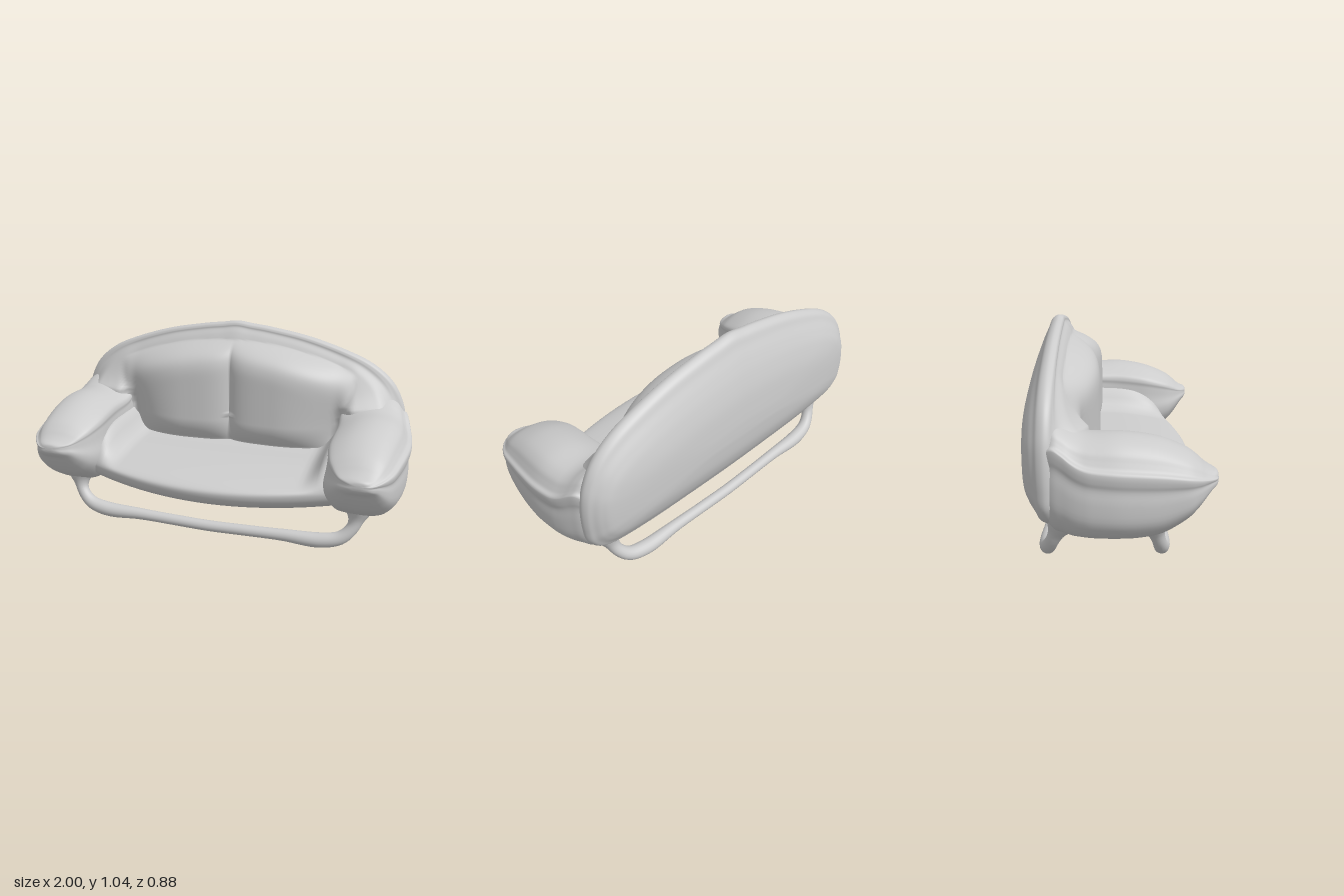
import * as THREE from 'three';
import { mergeVertices } from 'three/addons/utils/BufferGeometryUtils.js';

const V = (x, y, z = 0) => new THREE.Vector3(x, y, z);
const { smoothstep, clamp, mapLinear } = THREE.MathUtils;
const material = new THREE.MeshStandardMaterial({ color: 0xcccccc });

// Smooth curve through points, sampled by even parameter
function smooth(points, n, closed = false) {
  return new THREE.CatmullRomCurve3(points, closed, 'catmullrom', 0.5).getPoints(n);
}

// Weld seams so the surface shades as one smooth skin
function weld(geometry) {
  geometry.deleteAttribute('uv');
  geometry.deleteAttribute('normal');
  const welded = mergeVertices(geometry, 1e-5);
  welded.computeVertexNormals();
  return welded;
}

// Skin closed rings of equal length, closing both ends at their centres
function loft(rings) {
  const n = rings[0].length;
  const centre = (r) => {
    const c = r.reduce((sum, p) => sum.add(p), V(0, 0)).divideScalar(n);
    return r.map(() => c);
  };
  const all = [centre(rings[0]), ...rings, centre(rings[rings.length - 1])];
  const pts = all.flat();
  const index = [];
  let volume = 0;
  const tri = (a, b, c) => {
    if (pts[a].equals(pts[b]) || pts[b].equals(pts[c]) || pts[a].equals(pts[c])) return;
    index.push(a, b, c);
    volume += pts[a].dot(pts[b].clone().cross(pts[c]));
  };
  for (let i = 0; i < all.length - 1; i++) {
    for (let j = 0; j < n; j++) {
      const k = (j + 1) % n;
      tri(i * n + j, i * n + k, (i + 1) * n + j);
      tri(i * n + k, (i + 1) * n + k, (i + 1) * n + j);
    }
  }
  if (volume < 0) index.reverse();
  const g = new THREE.BufferGeometry().setFromPoints(pts);
  g.setIndex(index);
  return weld(g);
}

// Forward swell of the two back cushions, creased between them
function cushionSwell(x, y) {
  const side = Math.abs(x);
  const edge = 0.575 + 0.095 * smoothstep(y, 0.42, 0.82);
  const across = 1 - clamp((side - 0.26) / (edge - 0.26), 0, 1) ** 2;
  const topEdge = 0.95 - 0.12 * (side / 0.62) ** 2;
  const up = 1 - clamp((y - topEdge + 0.23) / 0.23, 0, 1) ** 4;
  const tuck = 1 - 0.35 * clamp((0.52 - y) / 0.12, 0, 1) ** 2;
  const crease = 1 - 0.42 * Math.exp(-side / 0.07);
  return 0.132 * across ** 0.8 * up * tuck * crease;
}

// Flare joining the arm tops to the back
function armFlare(x, y) {
  return 0.095 * smoothstep(Math.abs(x), 0.57, 0.68) * Math.exp(-Math.max(0, y - 0.64) / 0.085);
}

// Back: one arched outline, scaled ring by ring from the cushioned front to the domed rear
function backGeometry() {
  const half = [[0.09, 1.036], [0.2, 1.022], [0.4, 0.985], [0.6, 0.925], [0.75, 0.86], [0.86, 0.77],
    [0.92, 0.66], [0.942, 0.55], [0.942, 0.42], [0.92, 0.32], [0.83, 0.245], [0.6, 0.212], [0.3, 0.2]];
  const outline = smooth([
    V(0, 1.047), ...half.map(([x, y]) => V(x, y)), V(0, 0.195),
    ...half.slice().reverse().map(([x, y]) => V(-x, y)),
  ], 196, true).slice(0, -1);
  const midY = 0.55;
  // x scale, y scale, z
  const steps = [[0.03, 0.03, -0.212], [0.16, 0.16, -0.212], [0.3, 0.3, -0.212], [0.44, 0.44, -0.212],
    [0.57, 0.57, -0.212], [0.7, 0.7, -0.214], [0.8, 0.8, -0.228], [0.88, 0.88, -0.248], [0.935, 0.935, -0.268],
    [0.965, 0.965, -0.271], [0.99, 0.99, -0.28], [1, 1, -0.305], [0.99, 0.96, -0.333], [0.97, 0.87, -0.352],
    [0.94, 0.75, -0.379], [0.88, 0.6, -0.405], [0.7, 0.4, -0.427], [0.35, 0.15, -0.438], [0.03, 0.03, -0.44]];
  return loft(smooth(steps.map((s) => V(...s)), 108).map((s) => outline.map((p) => {
    const x = p.x * s.x;
    const y = midY + (p.y - midY) * s.y;
    const relief = s.z < -0.29 ? 0
      : cushionSwell(x, y) * (1 - smoothstep(s.x, 0.86, 0.95)) + armFlare(x, y) * (1 - smoothstep(s.x, 0.88, 0.99));
    return V(x, y, s.z + relief);
  })));
}

// Left arm: padded top, rolled lip and rounded body, swept from front to back
function armGeometry() {
  // across (-1 inner, 1 outer), height (1 top, 0 lip, -1 underside)
  const section = smooth([[0, 1], [0.42, 0.89], [0.68, 0.64], [0.8, 0.36], [0.88, 0.17], [0.97, 0.09],
    [1, -0.02], [0.98, -0.12], [0.94, -0.22], [0.96, -0.42], [0.9, -0.7], [0.62, -0.92], [0.25, -1], [-0.3, -1],
    [-0.7, -0.95], [-1, -0.72], [-1.08, -0.45], [-1, -0.15], [-0.97, 0.15], [-0.98, 0.36], [-0.88, 0.6],
    [-0.45, 0.9]].map(([u, v]) => V(u, v)), 88, true).slice(0, -1);
  // z, inner x, outer x, top, lip, underside
  const stations = [[0.441, 0.785, 0.815, 0.466, 0.458, 0.448], [0.437, 0.758, 0.845, 0.479, 0.459, 0.433],
    [0.426, 0.733, 0.868, 0.487, 0.461, 0.418], [0.405, 0.703, 0.892, 0.494, 0.465, 0.398],
    [0.38, 0.68, 0.912, 0.512, 0.469, 0.362], [0.35, 0.658, 0.932, 0.54, 0.474, 0.322],
    [0.3, 0.632, 0.954, 0.575, 0.483, 0.272], [0.2, 0.612, 0.975, 0.617, 0.497, 0.212],
    [0.1, 0.612, 0.99, 0.64, 0.507, 0.193], [0, 0.615, 0.998, 0.65, 0.515, 0.19],
    [-0.1, 0.61, 0.993, 0.647, 0.525, 0.19], [-0.15, 0.605, 0.985, 0.65, 0.538, 0.192],
    [-0.19, 0.605, 0.975, 0.662, 0.56, 0.195], [-0.23, 0.605, 0.962, 0.685, 0.59, 0.205],
    [-0.27, 0.61, 0.947, 0.7, 0.61, 0.215], [-0.31, 0.62, 0.92, 0.68, 0.59, 0.25]];
  const plan = smooth(stations.map((s) => V(s[0], s[1], s[2])), 60);
  const heights = smooth(stations.map((s) => V(s[3], s[4], s[5])), 60);
  return loft(plan.map(({ x: z, y: inner, z: outer }, i) => {
    const { x: top, y: lip, z: under } = heights[i];
    return section.map(({ x: u, y: v }) => V(
      (inner + outer) / 2 + (u * (outer - inner)) / 2,
      lip + v * (v > 0 ? top - lip : lip - under), z));
  }));
}

// Seat: side profile swept across, bowed at the front and turned up into the arms
function seatGeometry() {
  const profile = smooth([[-0.34, 0.26], [-0.28, 0.205], [-0.1, 0.168], [0.1, 0.166], [0.26, 0.19],
    [0.35, 0.232], [0.384, 0.282], [0.372, 0.322], [0.28, 0.356], [0.1, 0.383], [-0.08, 0.393], [-0.25, 0.4],
    [-0.33, 0.36]].map(([z, y]) => V(0, y, z)), 78, true).slice(0, -1);
  const rings = [];
  for (let i = 0; i <= 64; i++) {
    const x = -0.8 + (1.6 * i) / 64;
    const bow = (x / 0.62) ** 2;
    const turnUp = Math.min(0.12, 10 * Math.max(0, Math.abs(x) - 0.49) ** 2);
    rings.push(profile.map((p) => {
      const front = smoothstep(p.z, -0.1, 0.38);
      const upper = smoothstep(p.y, 0.3, 0.38);
      return V(x, p.y + 0.03 * bow * (1 - upper) + turnUp * upper, p.z - 0.11 * bow * front);
    }));
  }
  return loft(rings);
}

// Sled leg: one bent bar whose thickness swells at the top and at the bends
function sledGeometry(topZ, footZ) {
  const half = [[0.775, 0.25], [0.772, 0.19], [0.755, 0.13], [0.7, 0.073], [0.6, 0.047], [0.4, 0.045], [0.2, 0.04]];
  const at = (x, y) => V(x, y, mapLinear(y, 0.04, 0.22, footZ, topZ));
  const curve = new THREE.CatmullRomCurve3([
    ...half.map(([x, y]) => at(-x, y)), at(0, 0.036),
    ...half.slice().reverse().map(([x, y]) => at(x, y)),
  ]);
  const g = new THREE.TubeGeometry(curve, 120, 0.029, 20);
  const { position, normal, uv } = g.attributes;
  for (let i = 0; i < position.count; i++) {
    const end = 1 - Math.abs(2 * uv.getX(i) - 1);
    const swell = 0.055 * Math.exp(-((end / 0.07) ** 2)) + 0.01 * Math.exp(-(((end - 0.35) / 0.17) ** 2));
    const p = V(0, 0).fromBufferAttribute(position, i);
    p.addScaledVector(V(0, 0).fromBufferAttribute(normal, i), swell);
    position.setXYZ(i, p.x, Math.max(0, p.y), p.z);
  }
  return weld(g);
}

export function createModel() {
  const sofa = new THREE.Group();
  sofa.name = 'sofa';
  const add = (name, geometry) => {
    const mesh = new THREE.Mesh(geometry, material);
    mesh.name = name;
    sofa.add(mesh);
  };

  add('cushionedBackrest', backGeometry());
  add('seat', seatGeometry());

  // Right arm mirrors the left, with faces kept outward
  const arm = armGeometry();
  const mirrored = arm.clone().scale(-1, 1, 1);
  mirrored.setIndex(Array.from(arm.index.array).reverse());
  mirrored.computeVertexNormals();
  add('leftArm', arm);
  add('rightArm', mirrored);

  add('frontSledLeg', sledGeometry(0.165, 0.215));
  add('rearSledLeg', sledGeometry(-0.25, -0.33));
  return sofa;
}
